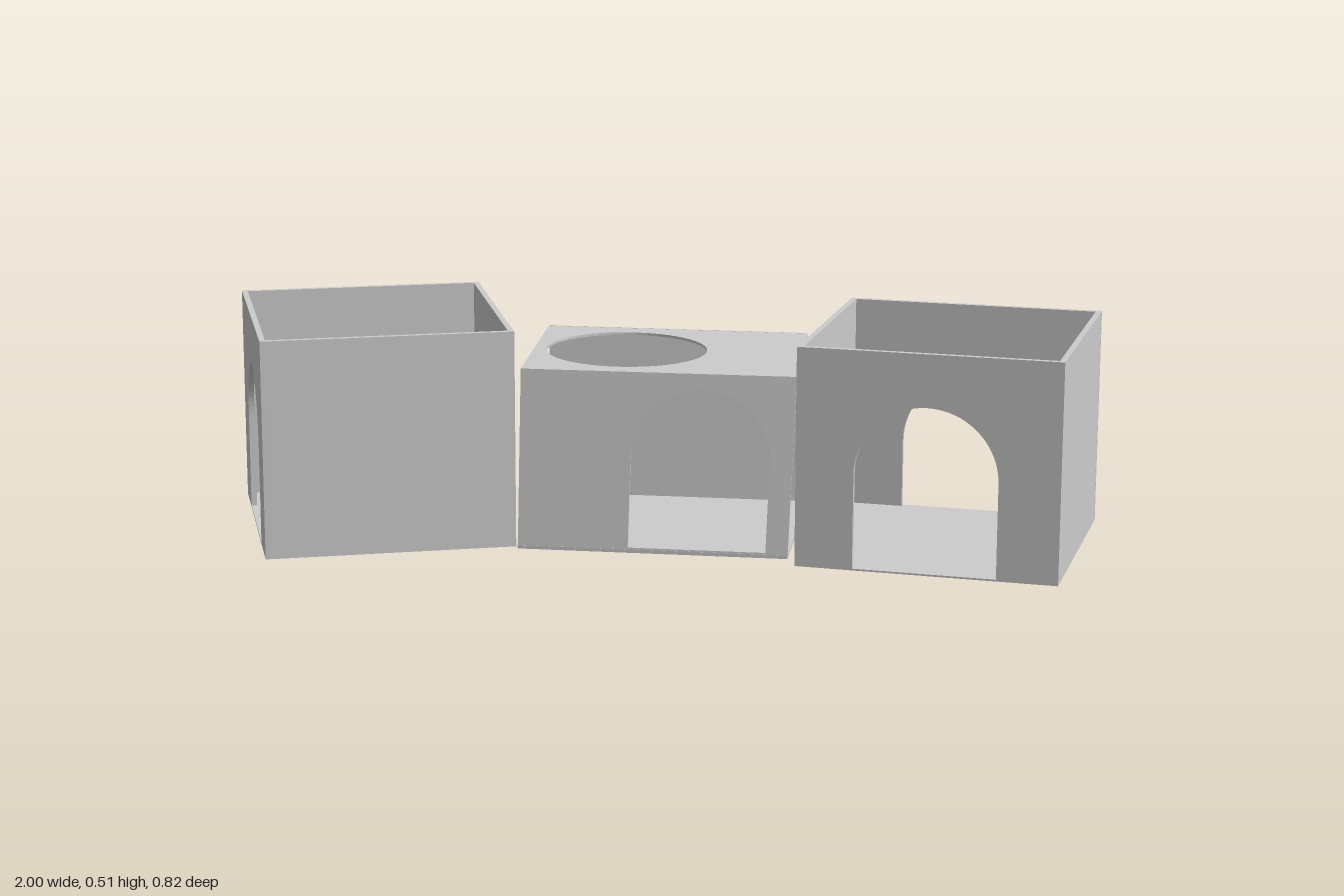
import * as THREE from 'three';

const material = new THREE.MeshStandardMaterial({ color: 0xcccccc, flatShading: true });

// Arched opening: centre x, half-width r, sill height and crown height
function arch(cx, r, sill, crown) {
  const p = new THREE.Path();
  p.moveTo(cx - r, sill);
  p.lineTo(cx + r, sill);
  p.lineTo(cx + r, crown - r);
  p.absarc(cx, crown - r, r, 0, Math.PI, false);
  p.lineTo(cx - r, sill);
  return p;
}

// Flat panel fitted to four corners (counter-clockwise from outside), thickened inward
function panel(name, [a, b, c, d], t, makeHole) {
  const w = a.distanceTo(b), h = a.distanceTo(d);
  const shape = new THREE.Shape([[0, 0], [w, 0], [w, h], [0, h]].map(p => new THREE.Vector2(...p)));
  if (makeHole) shape.holes.push(makeHole(w, h));
  const geo = new THREE.ExtrudeGeometry(shape, { depth: t, bevelEnabled: false, curveSegments: 20 });
  const n = b.clone().sub(a).cross(d.clone().sub(a)).normalize();
  const pos = geo.attributes.position;
  for (let i = 0; i < pos.count; i++) {
    const u = pos.getX(i) / w, v = pos.getY(i) / h;
    const low = a.clone().lerp(b, u), high = d.clone().lerp(c, u);
    const q = low.lerp(high, v).addScaledVector(n, pos.getZ(i) - t);
    pos.setXYZ(i, q.x, q.y, q.z);
  }
  geo.computeVertexNormals();
  const mesh = new THREE.Mesh(geo, material);
  mesh.name = name;
  return mesh;
}

// Corner ring in the order front-left, front-right, back-right, back-left (as seen from the front)
const ring = (pts, y) => pts.map(([x, z]) => new THREE.Vector3(x, y, z));

// Room made of walls between a lower and an upper ring; walls: side -> hole maker or null
function room(name, low, high, t, floorT, walls) {
  const g = new THREE.Group();
  g.name = name;
  const sides = ['front', 'right', 'back', 'left'];
  for (const [side, hole] of Object.entries(walls)) {
    const i = sides.indexOf(side), j = (i + 1) % 4;
    g.add(panel(side + 'Wall', [low[i], low[j], high[j], high[i]], t, hole));
  }
  const lift = new THREE.Vector3(0, floorT, 0);
  g.add(panel('floor', low.map(p => p.clone().add(lift)), floorT));
  return g;
}

export function createModel() {
  const model = new THREE.Group();
  model.name = 'threeRooms';
  const y0 = 0.008, y1 = 0.505, wallT = 0.013, floorT = 0.004;
  const door = (f, r, crown) => w => arch(f * w, r, floorT, crown);

  // Open-topped room turned diagonally, doors in its two end walls
  const west = [[-0.75, 0.41], [-0.24, 0.165], [-0.49, -0.365], [-1, -0.12]];
  model.add(room('turnedRoom', ring(west, y0), ring(west, y1), wallT, floorT, {
    front: null, back: null,
    right: door(0.5, 0.16, 0.33),
    left: door(0.5, 0.163, 0.382),
  }));

  // Open-topped room with three doors
  const east = [[0.402, 0.162], [0.988, 0.172], [1, -0.395], [0.415, -0.402]];
  model.add(room('threeDoorRoom', ring(east, y0), ring(east, y1), wallT, floorT, {
    front: door(0.495, 0.16, 0.378),
    right: null,
    back: door(0.51, 0.157, 0.322),
    left: door(0.33, 0.155, 0.39),
  }));

  // Slightly leaning passage, open at both ends, with a round skylight
  const low = ring([[-0.24, 0.154], [0.37, 0.085], [0.317, -0.393], [-0.295, -0.322]], 0);
  const high = ring([[-0.238, 0.125], [0.38, 0.052], [0.308, -0.413], [-0.308, -0.345]], 0.412);
  const passage = room('passage', low, high, 0.006, 0.008, {
    front: w => arch(0.664 * w, 0.156, 0.012, 0.376),
    back: null,
  });
  passage.add(panel('roof', high, 0.006, (w, h) => {
    const p = new THREE.Path();
    p.absarc(0.345 * w, 0.495 * h, 0.187, 0, Math.PI * 2, false);
    return p;
  }));
  model.add(passage);
  return model;
}
